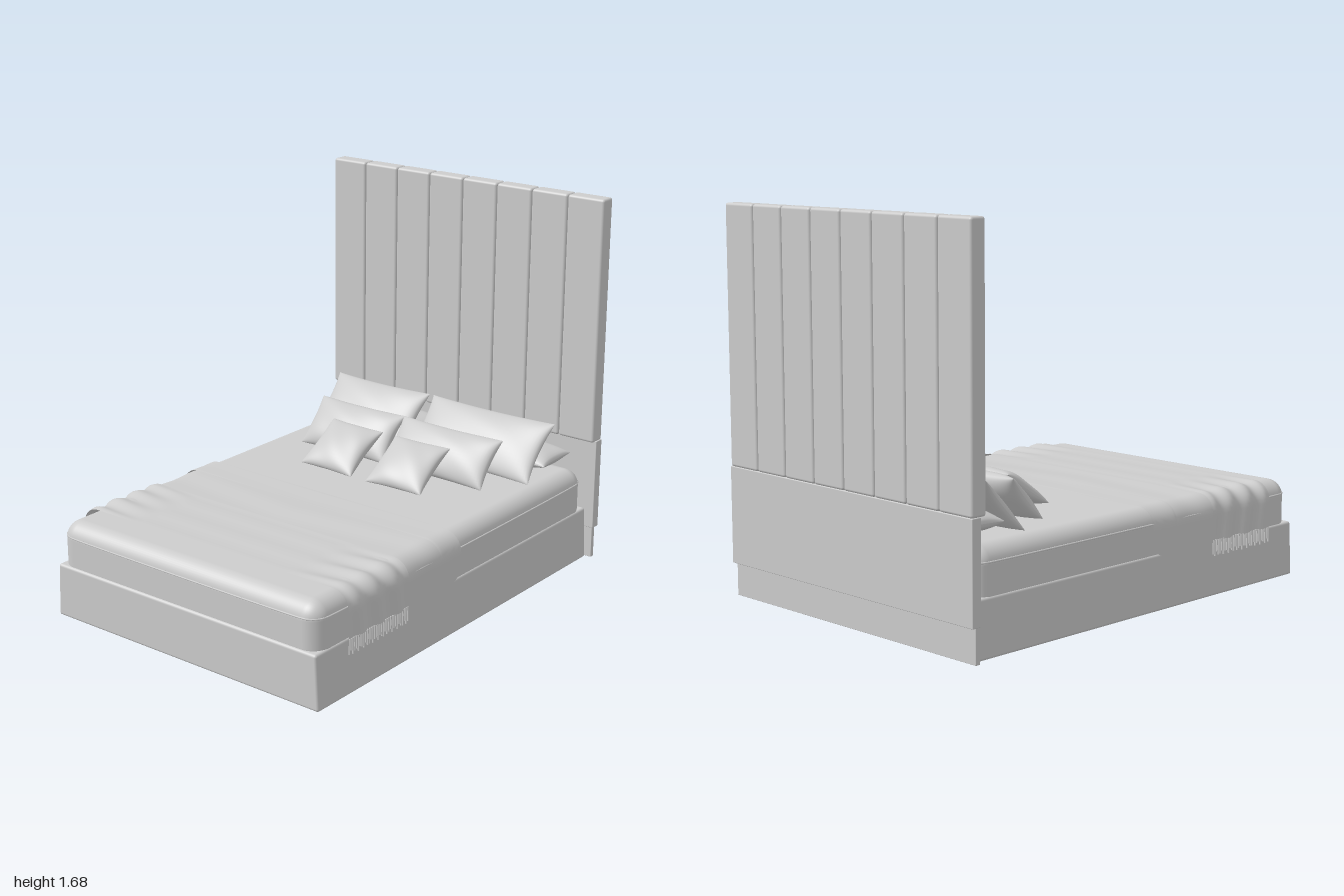
import * as THREE from 'three';
import { RoundedBoxGeometry } from 'three/addons/geometries/RoundedBoxGeometry.js';

const fabric = new THREE.MeshStandardMaterial({ color: 0xcccccc, side: THREE.DoubleSide });
fabric.name = 'lightGrey';

export function createModel() {
  const bed = new THREE.Group();
  bed.name = 'bed';

  const add = (name, geometry, parent = bed) => {
    const mesh = new THREE.Mesh(geometry, fabric);
    mesh.name = name;
    parent.add(mesh);
    return mesh;
  };
  // Rounded box given by its limits on each axis
  const block = (name, x0, x1, y0, y1, z0, z1, r, parent) => {
    const g = new RoundedBoxGeometry(x1 - x0, y1 - y0, z1 - z0, 5, r);
    g.translate((x0 + x1) / 2, (y0 + y1) / 2, (z0 + z1) / 2);
    return add(name, g, parent);
  };

  // Headboard: eight padded upright panels over a plain board and a kickboard
  const headboard = new THREE.Group();
  headboard.name = 'headboard';
  bed.add(headboard);
  const panelWidth = 1.49 / 8;
  for (let i = 0; i < 8; i++) {
    const x = -0.745 + i * panelWidth;
    block('headboardPanel', x + 0.001, x + panelWidth - 0.001, 0.565, 1.68, -1, -0.925, 0.012, headboard);
  }
  block('headboardLowerBoard', -0.745, 0.745, 0.145, 0.566, -1, -0.955, 0.003, headboard);
  block('headboardKickboard', -0.74, 0.74, 0, 0.15, -0.98, -0.958, 0.002, headboard);

  // Base, slightly narrower at the top
  const base = block('bedBase', -0.717, 0.717, 0, 0.24, -0.948, 1, 0.012).geometry;
  const bp = base.attributes.position;
  for (let i = 0; i < bp.count; i++) bp.setX(i, bp.getX(i) * (1 - 0.07 * bp.getY(i)));

  // Mattress with a piped seam
  block('mattress', -0.7, 0.7, 0.17, 0.435, -0.938, 0.99, 0.075);
  const corners = [];
  for (const [sx, sz, a0] of [[1, 1, 0], [-1, 1, 1], [-1, -1, 2], [1, -1, 3]]) {
    for (let k = 0; k <= 5; k++) {
      const a = (a0 + k / 5) * Math.PI / 2;
      corners.push(new THREE.Vector3(sx * 0.625 + 0.074 * Math.cos(a), 0.372, 0.026 + sz * 0.889 + 0.074 * Math.sin(a)));
    }
  }
  add('mattressSeam', new THREE.TubeGeometry(new THREE.CatmullRomCurve3(corners, true), 200, 0.004, 6, true));

  // Cloth draped over the mattress: flat top, rounded shoulder, hanging sides
  const drape = (name, z0, z1, halfWidth, top, r, hem, wrinkle) => {
    const g = new THREE.PlaneGeometry(2, 1, 96, 48);
    const p = g.attributes.position;
    const flat = halfWidth - r, arc = r * Math.PI / 2;
    for (let i = 0; i < p.count; i++) {
      const side = Math.sign(p.getX(i));
      const t = p.getY(i) + 0.5;
      const z = z1 + (z0 - z1) * t;
      const length = flat + arc + (top - r - hem(z));
      const s = Math.abs(p.getX(i)) * length;
      const a = Math.min(Math.max((s - flat) / r, 0), Math.PI / 2);
      const lift = wrinkle(z, s, side) * Math.min(1, 12 * t * (1 - t));
      const x = Math.min(s, flat) + (r + lift) * Math.sin(a);
      const y = top - r + (r + lift) * Math.cos(a) - Math.max(s - flat - arc, 0);
      p.setXYZ(i, side * x, y, z);
    }
    g.computeVertexNormals();
    return add(name, g);
  };
  const blanketHem = (z) => 0.21 + 0.05 * Math.max(0, 1 - (z - 0.06) / 0.16) ** 2;
  drape('blanket', 0.06, 0.8, 0.712, 0.438, 0.085, blanketHem,
    (z, s) => 0.002 * Math.sin(z * 28 + s * 3));
  drape('blanketFold', 0.06, 0.2, 0.719, 0.443, 0.085, (z) => blanketHem(z) + 0.005,
    (z, s) => 0.001 * Math.sin(z * 30 + s * 2));
  drape('throw', 0.43, 0.82, 0.724, 0.444, 0.08, () => 0.245,
    (z, s, side) => (s > 0.4 ? 0.007 * Math.min(1, (s - 0.4) * 4) : 0) *
      Math.sin(z * 52 + s * 7 + side) + 0.001 * Math.sin(z * 40));

  // Tasselled fringe on both hanging ends of the throw
  const fringe = new THREE.Group();
  fringe.name = 'throwFringe';
  bed.add(fringe);
  for (const side of [-1, 1]) {
    for (let i = 0; i < 34; i++) {
      const h = 0.062 + 0.01 * Math.sin(i * 2.3);
      const g = new THREE.CylinderGeometry(0.003, 0.0045, h, 5);
      g.translate(side * 0.724, 0.248 - h / 2, 0.435 + i * 0.0115);
      add('tassel', g, fringe);
    }
  }

  // Pillow: two bulging sheets meeting at a seam with pinched edges
  const pillow = (name, x0, x1, y, z, height, depth, lean, power = 0.5, pinch = 0.06, roll = 0) => {
    const group = new THREE.Group();
    group.name = name;
    const width = x1 - x0;
    for (const face of [1, -1]) {
      const g = new THREE.PlaneGeometry(2, 2, 28, 24);
      const p = g.attributes.position;
      for (let i = 0; i < p.count; i++) {
        const u = Math.sin(p.getX(i) * Math.PI / 2), v = Math.sin(p.getY(i) * Math.PI / 2);
        const fu = Math.max(0, 1 - u * u), fv = Math.max(0, 1 - v * v);
        const crease = 1 + 0.05 * Math.sin(u * 5 + v * 4 + x0 * 9);
        p.setXYZ(i,
          u * (width / 2 - pinch * height * fv),
          v * (height / 2) * (1 - pinch * fu),
          depth / 2 * Math.pow(fu, 0.42) * Math.pow(fv, power) * crease);
      }
      g.computeVertexNormals();
      if (face < 0) g.rotateY(Math.PI);
      add(name + 'Side', g, group);
    }
    group.position.set((x0 + x1) / 2, y, z);
    group.rotation.set(-THREE.MathUtils.degToRad(lean), 0, roll);
    bed.add(group);
  };
  pillow('sleepingPillow', -0.61, -0.06, 0.495, -0.81, 0.22, 0.13, 88, 0.5, 0.03);
  pillow('sleepingPillow', -0.06, 0.63, 0.495, -0.81, 0.22, 0.13, 88, 0.5, 0.03);
  pillow('largePillow', -0.61, -0.07, 0.55, -0.695, 0.31, 0.11, 43);
  pillow('largePillow', -0.05, 0.62, 0.55, -0.695, 0.31, 0.11, 43);
  pillow('mediumPillow', -0.52, -0.035, 0.532, -0.48, 0.25, 0.12, 42);
  pillow('mediumPillow', -0.045, 0.5, 0.532, -0.48, 0.25, 0.12, 42);
  pillow('smallCushion', -0.335, -0.045, 0.517, -0.288, 0.275, 0.1, 57, 0.5, 0.05, -0.02);
  pillow('smallCushion', 0.03, 0.33, 0.517, -0.288, 0.275, 0.1, 57, 0.5, 0.05, 0.02);

  return bed;
}
